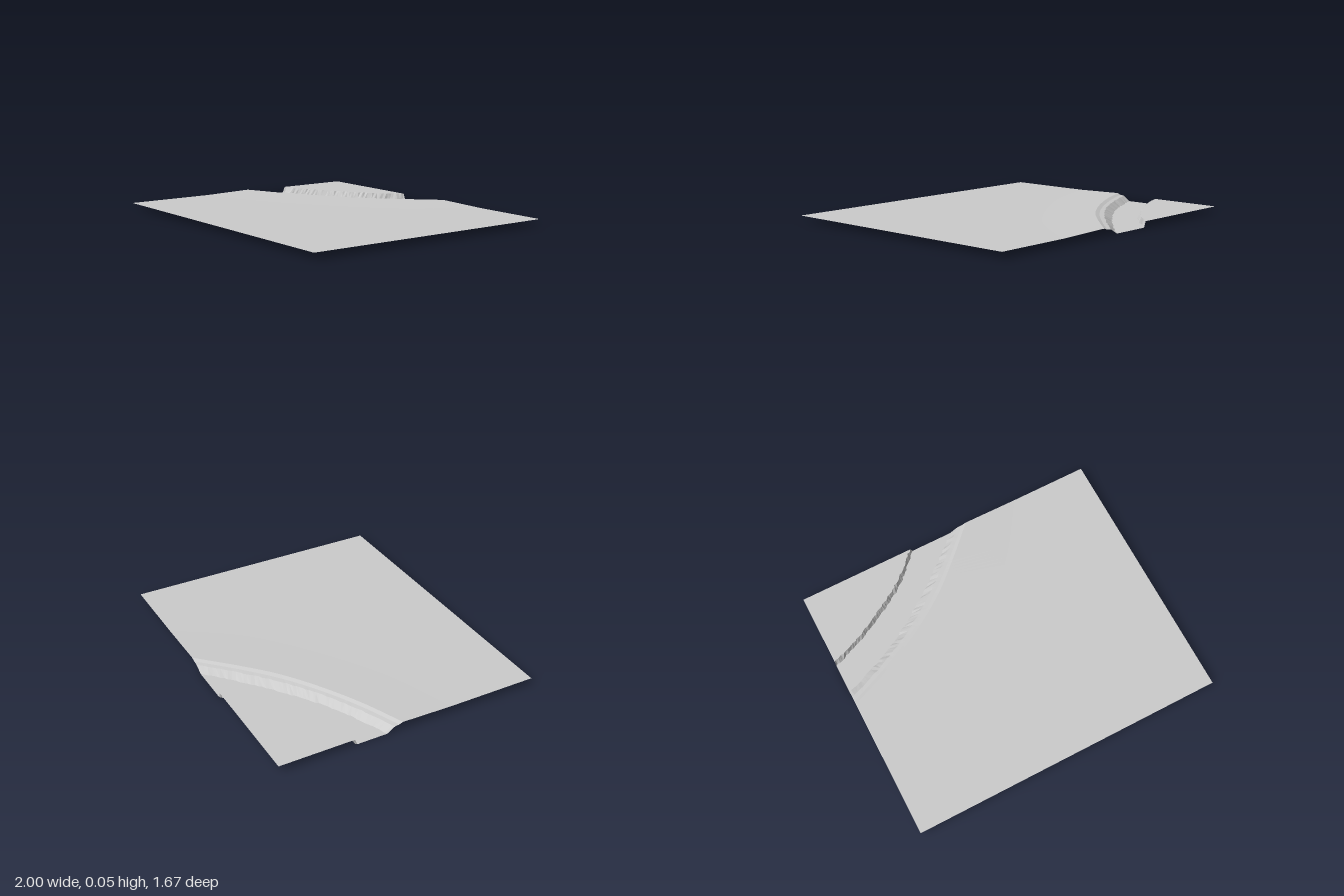
import * as THREE from 'three';

const STATIONS = 56;
const BACK = -0.835, FRONT = 0.835;

// smooth ground curve from the left edge to the back edge, at a given height
function bankLine(points, y, steps = STATIONS) {
  const curve = new THREE.CatmullRomCurve3(points.map(([x, z]) => new THREE.Vector3(x, y, z)));
  return curve.getPoints(steps);
}

// line part way between two bank lines
function between(a, b, t, y) {
  return a.map((p, i) => p.clone().lerp(b[i], t).setY(y));
}

// small seeded wobble, leaving the ends on the border
function roughen(line, amount, seed) {
  let s = seed;
  const rnd = () => ((s = (s * 16807) % 2147483647) / 2147483647) * 2 - 1;
  return line.map((p, i) => {
    const k = i === 0 || i === line.length - 1 ? 0 : rnd() * amount;
    return p.clone().add(new THREE.Vector3(k, 0, k));
  });
}

// strip of quads between an inner and an outer line
function loft(inner, outer) {
  const pos = [];
  for (let j = 0; j < inner.length - 1; j++) {
    const a = inner[j], b = inner[j + 1], c = outer[j], d = outer[j + 1];
    for (const p of [a, c, b, b, c, d]) pos.push(p.x, p.y, p.z);
  }
  const geo = new THREE.BufferGeometry();
  geo.setAttribute('position', new THREE.Float32BufferAttribute(pos, 3));
  geo.computeVertexNormals();
  return geo;
}

export function createModel() {
  const group = new THREE.Group();
  const ground = new THREE.MeshStandardMaterial({ color: 0xcccccc, side: THREE.DoubleSide, flatShading: true });
  ground.name = 'ground grey';
  const add = (name, inner, outer) => {
    const mesh = new THREE.Mesh(loft(inner, outer), ground);
    mesh.name = name;
    group.add(mesh);
  };
  const LAND = 0.037, LIP = 0.045;

  // steep inner bank
  const rim = bankLine([[-1, -0.365], [-0.8, -0.445], [-0.61, -0.55], [-0.42, -0.675], [-0.25, BACK]], LAND);
  const base = bankLine([[-1, -0.35], [-0.8, -0.432], [-0.6, -0.537], [-0.41, -0.662], [-0.235, BACK]], 0);
  const cliffRim = roughen(rim, 0.004, 11);
  const cliffBase = roughen(base, 0.004, 37);

  // stepped outer bank
  const foot = bankLine([[-1, -0.155], [-0.8, -0.24], [-0.58, -0.35], [-0.39, -0.48], [-0.18, -0.645], [0.03, BACK]], 0);
  const lip = bankLine([[-1, -0.055], [-0.72, -0.173], [-0.45, -0.32], [-0.235, -0.468], [-0.05, -0.635], [0.15, BACK]], LIP);
  const slopeFoot = roughen(foot, 0.004, 71);
  const ledgeInner = roughen(between(foot, lip, 0.48, 0.033), 0.003, 93);
  const ledgeOuter = between(foot, lip, 0.76, 0.036);

  // coarse line where the gentle slope meets the plain
  const plainEdge = bankLine([[-1, 0.27], [-0.5, 0.075], [0.2, -0.42], [0.51, BACK]], LAND);

  // corner ground behind the channel
  const corner = rim.map(() => new THREE.Vector3(-1, LAND, BACK));
  add('cornerGround', corner, cliffRim);
  add('innerBank', cliffRim, cliffBase);
  add('channelFloor', cliffBase, slopeFoot);
  add('outerBankSlope', slopeFoot, ledgeInner);
  add('outerBankLedge', ledgeInner, ledgeOuter);
  add('outerBankLip', ledgeOuter, lip);
  add('gentleSlope', lip, plainEdge);

  // flat plain out to the front and right borders
  const plainLine = [new THREE.Vector3(-1, LAND, FRONT), ...plainEdge, new THREE.Vector3(1, LAND, BACK)];
  add('plain', plainLine, plainLine.map(() => new THREE.Vector3(1, LAND, FRONT)));

  return group;
}
